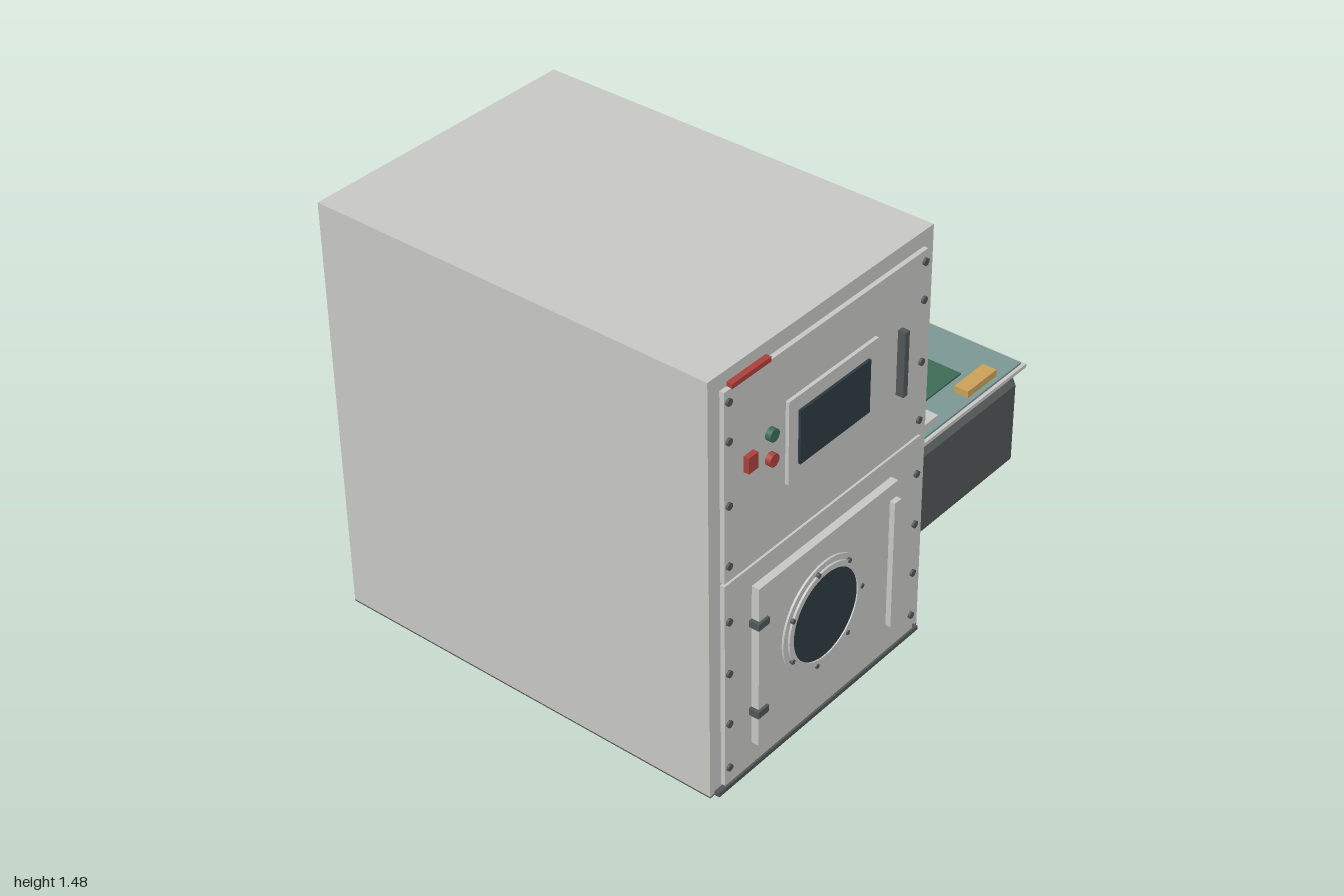
import * as THREE from 'three';

const mat = (name, color) => {
  const m = new THREE.MeshStandardMaterial({ color });
  m.name = name;
  return m;
};

export function createModel() {
  const model = new THREE.Group();
  model.name = 'cabinetAndTray';

  const grey = mat('light grey', 0xc6c6c3);
  const dark = mat('dark grey', 0x515656);
  const glass = mat('dark glass', 0x2c3a41);
  const red = mat('red', 0xaa403c);
  const green = mat('green', 0x3d6b56);
  const teal = mat('pale teal', 0x7b9694);
  const gold = mat('gold', 0xcb9f58);

  const add = (parent, name, geometry, material) => {
    const mesh = new THREE.Mesh(geometry, material);
    mesh.name = name;
    parent.add(mesh);
    return mesh;
  };
  // Box given by its limits on each axis
  const box = (parent, name, m, x0, x1, y0, y1, z0, z1) => {
    const mesh = add(parent, name, new THREE.BoxGeometry(x1 - x0, y1 - y0, z1 - z0), m);
    mesh.position.set((x0 + x1) / 2, (y0 + y1) / 2, (z0 + z1) / 2);
    return mesh;
  };
  // Disc facing the front
  const disc = (parent, name, m, x, y, r, z0, z1, sides = 24) => {
    const g = new THREE.CylinderGeometry(r, r, z1 - z0, sides).rotateX(Math.PI / 2);
    const mesh = add(parent, name, g, m);
    mesh.position.set(x, y, (z0 + z1) / 2);
    return mesh;
  };

  // Cabinet body and base
  const cabinet = new THREE.Group();
  cabinet.name = 'cabinet';
  model.add(cabinet);
  box(cabinet, 'cabinetBody', grey, -1, 0.026, 0.005, 1.483, -0.762, 0.7);
  box(cabinet, 'basePlate', dark, -1, 0.026, 0, 0.005, -0.762, 0.7);
  box(cabinet, 'frontSill', dark, -0.98, 0.008, 0, 0.015, 0.7, 0.718);
  box(cabinet, 'upperPanel', grey, -0.95, -0.02, 0.778, 1.43, 0.7, 0.716);
  box(cabinet, 'lowerPanel', grey, -0.95, -0.02, 0.023, 0.768, 0.7, 0.716);
  box(cabinet, 'warningStrip', red, -0.92, -0.75, 1.428, 1.444, 0.7, 0.72);

  // Panel screws down both edges
  for (const x of [-0.933, -0.035])
    for (const y of [1.393, 1.262, 1.044, 0.834, 0.634, 0.443, 0.254, 0.086])
      disc(cabinet, 'panelScrew', dark, x, y, 0.012, 0.714, 0.724, 12);

  // Upper controls
  const controls = new THREE.Group();
  controls.name = 'controls';
  cabinet.add(controls);
  box(controls, 'screenBezel', grey, -0.68, -0.266, 0.972, 1.256, 0.716, 0.728);
  box(controls, 'screen', glass, -0.637, -0.312, 1.024, 1.208, 0.728, 0.737);
  box(controls, 'powerSwitch', red, -0.866, -0.824, 1.12, 1.174, 0.716, 0.735);
  disc(controls, 'greenButton', green, -0.751, 1.187, 0.021, 0.716, 0.735);
  disc(controls, 'redButton', red, -0.751, 1.102, 0.021, 0.716, 0.735);
  box(controls, 'upperHandle', dark, -0.156, -0.135, 0.99, 1.217, 0.716, 0.743);

  // Door with hinges and handle
  const door = new THREE.Group();
  door.name = 'door';
  cabinet.add(door);
  box(door, 'doorPanel', grey, -0.828, -0.164, 0.11, 0.697, 0.716, 0.743);
  box(door, 'doorHandle', grey, -0.204, -0.171, 0.168, 0.641, 0.743, 0.762);
  for (const y of [0.567, 0.236])
    box(door, 'hinge', dark, -0.84, -0.79, y - 0.012, y + 0.012, 0.716, 0.752);

  // Round window: stepped ring, glass and seven bolts
  const cx = -0.527, cy = 0.42;
  const profile = [[0.15, 0], [0.195, 0], [0.195, 0.007], [0.175, 0.007], [0.175, 0.014], [0.155, 0.014], [0.155, 0]];
  // Each straight run is turned separately to keep its edges sharp
  for (let i = 1; i < profile.length - 1; i++) {
    const run = [profile[i], profile[i + 1]].map(([r, h]) => new THREE.Vector2(r, h));
    const ring = add(door, 'windowRing', new THREE.LatheGeometry(run, 48).rotateX(Math.PI / 2), grey);
    ring.position.set(cx, cy, 0.743);
  }
  disc(door, 'windowGlass', glass, cx, cy, 0.154, 0.743, 0.753, 48);
  for (let i = 0; i < 7; i++) {
    const a = (i * 2 * Math.PI) / 7;
    disc(door, 'windowBolt', dark, cx + 0.175 * Math.cos(a), cy + 0.175 * Math.sin(a), 0.008, 0.743, 0.76, 10);
  }

  // Tray unit: octagonal tub with a tapered shoulder
  const tray = new THREE.Group();
  tray.name = 'tray';
  model.add(tray);
  const tx = 0.621, tz = 0.085;
  const section = (hx, hz, c, y) => [
    [hx, hz - c], [hx, c - hz], [hx - c, -hz], [c - hx, -hz],
    [-hx, c - hz], [-hx, hz - c], [c - hx, hz], [hx - c, hz],
  ].map(([x, z]) => [x + tx, y, z + tz]);
  const rings = [
    section(0.375, 0.347, 0.054, 0),
    section(0.375, 0.347, 0.054, 0.304),
    section(0.322, 0.294, 0.03, 0.348),
  ];
  const pos = [];
  const tri = (a, b, c) => pos.push(...a, ...b, ...c);
  for (let k = 0; k < 2; k++)
    for (let i = 0; i < 8; i++) {
      const j = (i + 1) % 8;
      const [a, b, c, d] = [rings[k][i], rings[k][j], rings[k + 1][j], rings[k + 1][i]];
      tri(a, b, c);
      tri(a, c, d);
    }
  for (let i = 1; i < 7; i++) {
    tri(rings[0][0], rings[0][i + 1], rings[0][i]);
    tri(rings[2][0], rings[2][i], rings[2][i + 1]);
  }
  const tub = new THREE.BufferGeometry();
  tub.setAttribute('position', new THREE.Float32BufferAttribute(pos, 3));
  tub.computeVertexNormals();
  add(tray, 'tub', tub, dark);

  // Lid, circuit board and connectors
  box(tray, 'flange', grey, 0.243, 1, 0.346, 0.36, -0.264, 0.433);
  box(tray, 'lidPlate', teal, 0.257, 0.986, 0.36, 0.368, -0.251, 0.42);
  box(tray, 'board', green, 0.448, 0.79, 0.376, 0.383, -0.197, 0.312);
  for (const x of [0.48, 0.76])
    for (const z of [-0.16, 0.27])
      box(tray, 'boardStandoff', grey, x - 0.01, x + 0.01, 0.368, 0.376, z - 0.01, z + 0.01);
  box(tray, 'boardPin', grey, 0.612, 0.628, 0.383, 0.388, 0.18, 0.28);
  box(tray, 'whiteConnector', grey, 0.367, 0.535, 0.368, 0.394, 0.347, 0.402);
  box(tray, 'goldConnector', gold, 0.703, 0.867, 0.368, 0.394, 0.347, 0.402);

  return model;
}
